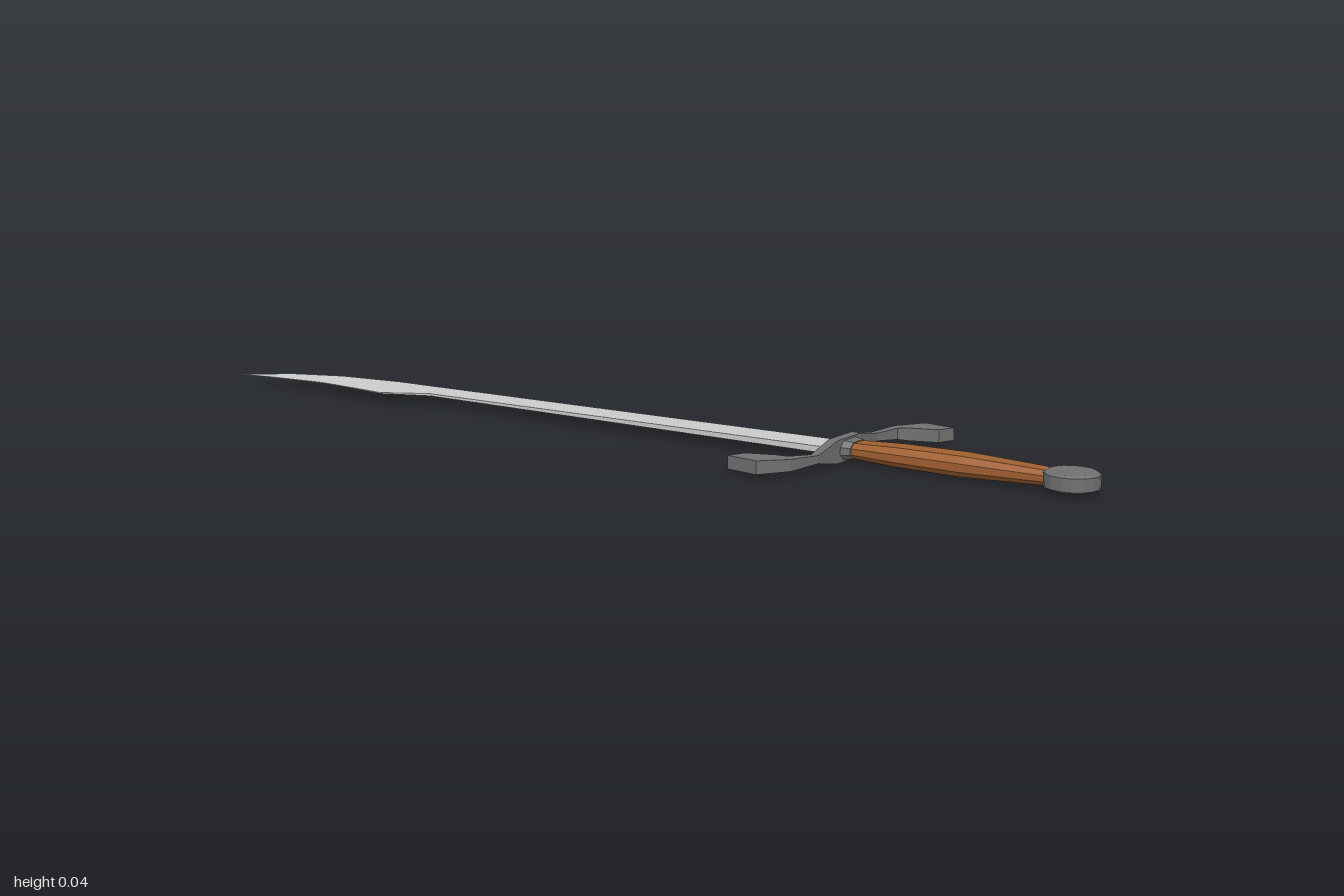
import * as THREE from 'three';

const MID = 0.022;      // height of the sword's middle plane
const GUARD_Z = 0.507;  // centre of the cross guard

const steel = new THREE.MeshStandardMaterial({ color: 0xcccccc, flatShading: true });
const iron = new THREE.MeshStandardMaterial({ color: 0x707070, flatShading: true });
const wood = new THREE.MeshStandardMaterial({ color: 0xa06030, flatShading: true });

// Skin a list of rings (equal point counts) and close both ends
function loft(rings) {
  const n = rings[0].length, last = (rings.length - 1) * n, index = [];
  for (let i = 0; i < last; i += n) {
    for (let j = 0; j < n; j++) {
      const a = i + j, b = i + (j + 1) % n;
      index.push(a, b, b + n, a, b + n, a + n);
    }
  }
  for (let j = 1; j < n - 1; j++) {
    index.push(0, j + 1, j, last, last + j, last + j + 1);
  }
  const geometry = new THREE.BufferGeometry();
  geometry.setAttribute('position', new THREE.Float32BufferAttribute(rings.flat(2), 3));
  geometry.setIndex(index);
  geometry.computeVertexNormals();
  return geometry;
}

// Octagonal ring across the z axis: half width w, half height h
function octagon(z, w, h) {
  const a = w * 0.62, b = h * 0.4;
  return [[-a, -h], [a, -h], [w, -b], [w, b], [a, h], [-a, h], [-w, b], [-w, -b]]
    .map(([x, y]) => [x, MID + y, z]);
}

export function createModel() {
  const group = new THREE.Group();
  const add = (name, geometry, material) => {
    const mesh = new THREE.Mesh(geometry, material);
    mesh.name = name;
    group.add(mesh);
    return mesh;
  };

  // Blade: wedge section, thick back on -x and sharp edge on +x
  // [z, back x, edge x, half thickness of back]
  const blade = [
    [-1, -0.115, -0.113, 0.0002],
    [-0.915, -0.1, -0.04, 0.0004],
    [-0.8, -0.087, 0.005, 0.0006],
    [-0.767, -0.085, 0.01, 0.0007],
    [-0.64, -0.095, 0.027, 0.001],
    [-0.58, -0.102, 0.028, 0.0012],
    [-0.48, -0.053, 0.031, 0.0025],
    [0.505, -0.042, 0.057, 0.006],
  ];
  add('blade', loft(blade.map(([z, back, edge, h]) =>
    [[back, MID - h, z], [edge, MID, z], [back, MID + h, z]])), steel);

  // Cross guard: S shape, one arm turned half round to make the other
  // [outer x, outer z, inner x, inner z, half height]
  const arm = [
    [0.042, 0.497, 0.042, 0.517, 0.022],
    [0.12, 0.494, 0.12, 0.509, 0.0075],
    [0.19, 0.508, 0.17, 0.526, 0.011],
    [0.243, 0.548, 0.178, 0.545, 0.0125],
    [0.233, 0.614, 0.197, 0.6, 0.0125],
  ];
  const otherArm = arm.map(([ox, oz, ix, iz, h]) =>
    [-ix, 2 * GUARD_Z - iz, -ox, 2 * GUARD_Z - oz, h]).reverse();
  add('crossGuard', loft([...otherArm, ...arm].map(([ox, oz, ix, iz, h]) => [
    [ix, MID - h, iz], [ox, MID - h, oz], [ox, MID + h, oz], [ix, MID + h, iz],
  ])), iron);

  // Collar between guard and grip
  add('collar', loft([octagon(0.51, 0.037, 0.019), octagon(0.535, 0.03, 0.016)]), iron);

  // Grip swelling in the middle
  add('grip', loft([
    octagon(0.528, 0.027, 0.014),
    octagon(0.62, 0.033, 0.018),
    octagon(0.75, 0.034, 0.019),
    octagon(0.87, 0.027, 0.015),
    octagon(0.92, 0.024, 0.013),
  ]), wood);

  // Disc pommel lying flat, with a slight bevel
  const profile = [[0, -0.016], [0.042, -0.016], [0.049, -0.012], [0.049, 0.012], [0.042, 0.016], [0, 0.016]]
    .map(([r, y]) => new THREE.Vector2(r, y));
  add('pommel', new THREE.LatheGeometry(profile, 16), iron).position.set(0, MID, 0.951);

  return group;
}
